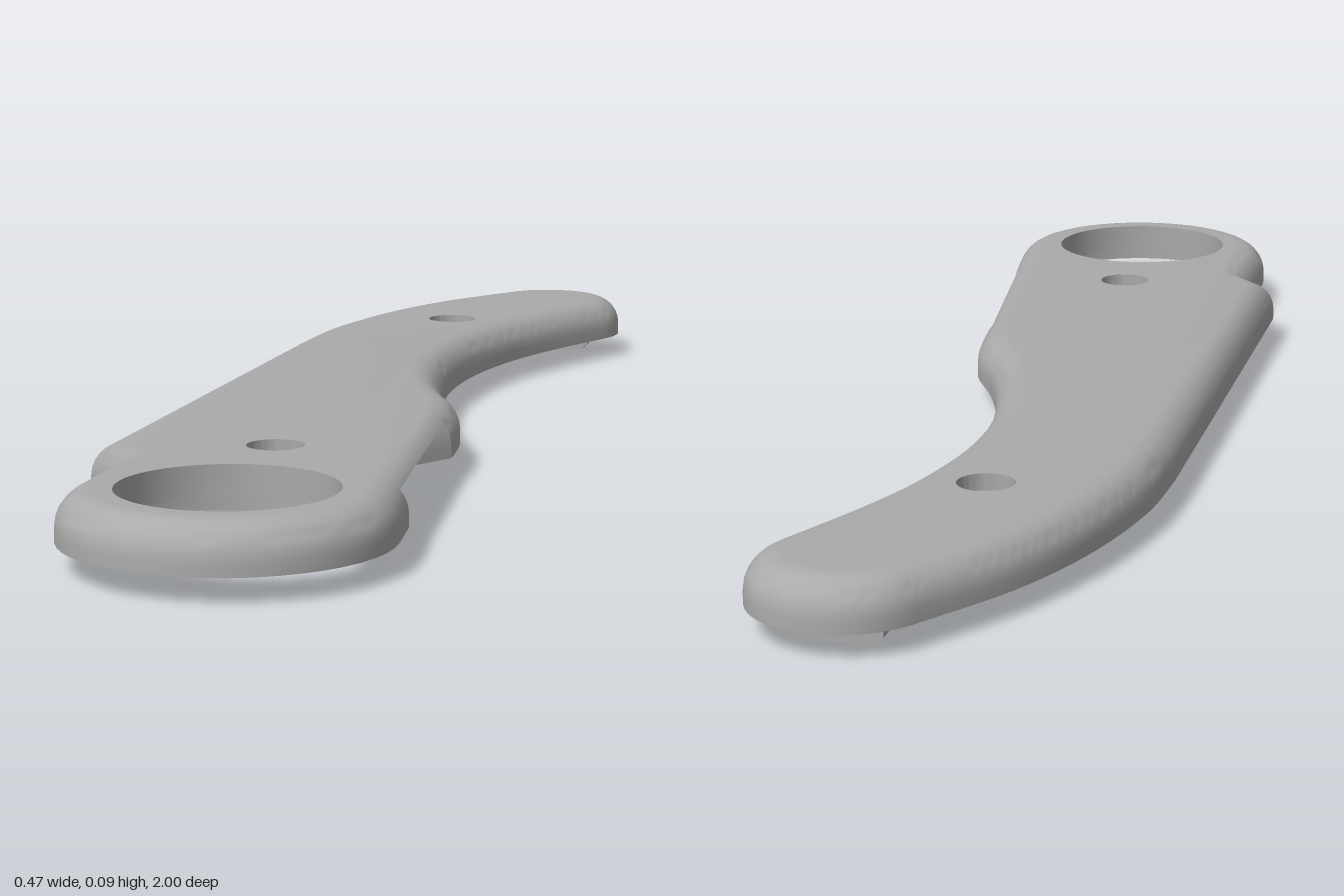
import * as THREE from 'three';
import { toCreasedNormals } from 'three/addons/utils/BufferGeometryUtils.js';

const BASE = 0.033, SHOULDER = 0.05, ROUND = 0.045, TOP = SHOULDER + ROUND;
const POCKET_T = Math.asin(2 / 3), POCKET_Y = SHOULDER + ROUND * 2 / 3;
const v2 = (list) => list.map(([x, z]) => new THREE.Vector2(x, z));

// Plan outline in (x, z), running counter-clockwise as seen from above
function outline() {
  const s = new THREE.Shape();
  const tip = (a) => [0.06 + 0.12 * Math.cos(a), -0.88 + 0.12 * Math.sin(a)];
  s.moveTo(...tip(-2.61));
  s.splineThru(v2([[-0.13, -0.8], [-0.19, -0.65], [-0.228, -0.48], [-0.238, -0.33]]));
  s.lineTo(-0.238, 0.565);
  s.lineTo(-0.19, 0.625);
  s.lineTo(-0.186, 0.66);
  s.absarc(0.022, 0.79, 0.208, Math.PI, -0.122, true);
  s.lineTo(0.218, 0.68);
  s.lineTo(0.165, 0.25);
  s.splineThru(v2([[0.156, 0.17], [0.14, 0.105], [0.1, 0.016], [0.067, -0.09], [0.041, -0.24],
    [0.041, -0.4], [0.067, -0.555], [0.11, -0.69], tip(0.41)]));
  s.absarc(0.06, -0.88, 0.12, 0.41, -2.61, true);
  const pts = s.getPoints(12);
  return pts.filter((p, i) => p.distanceTo(pts[(i + 1) % pts.length]) > 1e-4);
}

// Mitred inward offset of a closed outline
function inset(pts, d) {
  const n = pts.length;
  return pts.map((p, i) => {
    const a = p.clone().sub(pts[(i + n - 1) % n]).normalize();
    const b = pts[(i + 1) % n].clone().sub(p).normalize();
    const t = a.clone().add(b).normalize();
    const k = d / Math.max(0.5, t.dot(a));
    return new THREE.Vector2(p.x + t.y * k, p.y - t.x * k);
  });
}

// Joins stacked rings { pts, y } with walls
function loft(out, rings) {
  for (let r = 0; r + 1 < rings.length; r++) {
    const lo = rings[r], hi = rings[r + 1], n = lo.pts.length;
    for (let i = 0; i < n; i++) {
      const j = (i + 1) % n;
      const at = (ring, k) => [ring.pts[k].x, ring.y, ring.pts[k].y];
      const a = at(lo, i), b = at(lo, j), c = at(hi, j), d = at(hi, i);
      out.push(...a, ...b, ...c, ...a, ...c, ...d);
    }
  }
}

// Flat face at height y, facing up or down
function cap(out, contour, holes, y, up) {
  const c = contour.slice();
  if (THREE.ShapeUtils.isClockWise(c)) c.reverse();
  const hs = holes.map((h) => (THREE.ShapeUtils.isClockWise(h) ? h.slice() : h.slice().reverse()));
  const all = [c, ...hs].flat();
  for (const f of THREE.ShapeUtils.triangulateShape(c, hs)) {
    let [p, q, r] = f.map((i) => all[i]);
    const cross = (q.x - p.x) * (r.y - p.y) - (q.y - p.y) * (r.x - p.x);
    if ((cross > 0) === up) [q, r] = [r, q];
    for (const v of [p, q, r]) out.push(v.x, y, v.y);
  }
}

function circle(x, z, r, n = 48) {
  return Array.from({ length: n }, (_, i) => {
    const a = (i / n) * Math.PI * 2;
    return new THREE.Vector2(x + r * Math.cos(a), z + r * Math.sin(a));
  });
}

function handleGeometry() {
  const out = [];
  const base = outline();
  const start = base.findIndex((p) => Math.hypot(p.x - 0.218, p.y - 0.68) < 1e-3);
  const pocket = v2([[0.19, 0.663], [0.155, 0.615], [0.138, 0.595], [0.128, 0.545],
    [0.105, 0.515], [0.055, 0.485], [0.043, 0.475], [0.04, 0.46]]);
  const withPocket = (pts) => [...pts.slice(0, start + 1), ...pocket, ...pts.slice(start + 1)];
  const rim = (t) => ({ pts: inset(base, ROUND * (1 - Math.cos(t))), y: SHOULDER + ROUND * Math.sin(t) });

  // Lower shell, cut by the side pocket, then the full rounded upper shell
  const lower = [0, 0.25, 0.5, POCKET_T].map(rim);
  const upper = [POCKET_T, 0.95, 1.15, 1.36, Math.PI / 2].map(rim);
  loft(out, [{ pts: base, y: BASE }, ...lower].map((r) => ({ pts: withPocket(r.pts), y: r.y })));
  loft(out, upper);
  const edge = upper[0].pts;
  cap(out, [edge[start], ...pocket, edge[start + 1]], [], POCKET_Y, false);

  // Bores as [radius, y] steps from the underside upwards
  const screw = [[0.018, BASE], [0.018, 0.072], [0.038, 0.072], [0.038, TOP]];
  const blind = [[0.022, BASE], [0.022, 0.065]];
  const bores = [
    { x: 0.022, z: 0.79, steps: [[0.158, BASE], [0.158, 0.052], [0.138, 0.052], [0.138, TOP]] },
    { x: -0.04, z: -0.585, steps: screw },
    { x: 0, z: 0.525, steps: screw },
    { x: -0.01, z: -0.735, steps: blind },
    { x: 0.065, z: -0.82, steps: blind },
  ];
  const bottomHoles = [], topHoles = [];
  for (const { x, z, steps } of bores) {
    const rings = steps.map(([r, y]) => ({ pts: circle(x, z, r), y }));
    loft(out, rings);
    bottomHoles.push(rings[0].pts);
    const last = rings[rings.length - 1];
    if (last.y === TOP) topHoles.push(last.pts);
    else cap(out, last.pts, [], last.y, false);
  }
  cap(out, withPocket(base), bottomHoles, BASE, false);
  cap(out, upper[upper.length - 1].pts, topHoles, TOP, true);

  const g = new THREE.BufferGeometry();
  g.setAttribute('position', new THREE.Float32BufferAttribute(out, 3));
  return toCreasedNormals(g, 0.6);
}

// Bar hanging under the handle with chamfered lower ends, long along x
function barGeometry(length, width) {
  const h = length / 2, c = 0.01;
  const s = new THREE.Shape(v2([[-h, c], [-h + c, 0], [h - c, 0], [h, c], [h, BASE], [-h, BASE]]));
  return new THREE.ExtrudeGeometry(s, { depth: width, bevelEnabled: false }).translate(0, 0, -width / 2);
}

export function createModel() {
  const group = new THREE.Group();
  group.name = 'handleScale';
  const grey = new THREE.MeshStandardMaterial({ color: 0xaaaaaa });
  grey.name = 'grey';
  const add = (name, geometry) => {
    const m = new THREE.Mesh(geometry, grey);
    m.name = name;
    group.add(m);
    return m;
  };
  add('handleBody', handleGeometry());

  // Long locating rail and short end tab
  const rail = add('locatingRail', barGeometry(0.835, 0.032));
  rail.rotation.y = Math.PI / 2;
  rail.position.set(-0.188, 0, 0.0875);
  add('endTab', barGeometry(0.125, 0.03)).position.set(0.06, 0, -0.92);
  return group;
}
